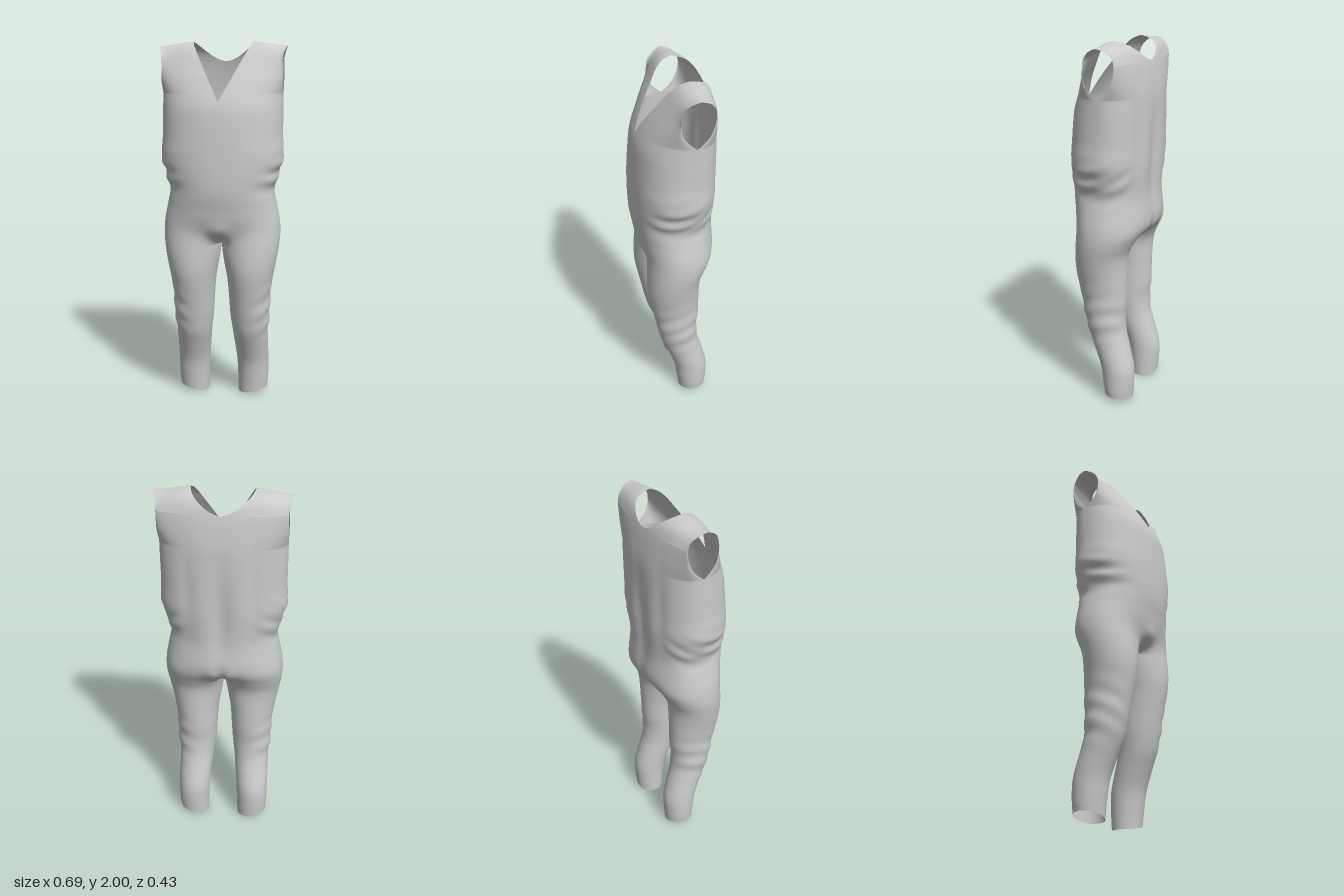
import * as THREE from 'three';
import { mergeVertices } from 'three/addons/utils/BufferGeometryUtils.js';

// Smooth interpolation through [y, value] pairs
function curve(...pts) {
  const slope = (i) => {
    const a = pts[Math.max(i - 1, 0)], b = pts[Math.min(i + 1, pts.length - 1)];
    return (b[1] - a[1]) / (b[0] - a[0]);
  };
  return (y) => {
    let i = 0;
    while (i < pts.length - 2 && y > pts[i + 1][0]) i++;
    const [y0, v0] = pts[i], [y1, v1] = pts[i + 1], h = y1 - y0;
    const t = THREE.MathUtils.clamp((y - y0) / h, 0, 1), t2 = t * t, t3 = t2 * t;
    return v0 * (2 * t3 - 3 * t2 + 1) + slope(i) * h * (t3 - 2 * t2 + t)
      + v1 * (3 * t2 - 2 * t3) + slope(i + 1) * h * (t3 - t2);
  };
}

const { clamp, lerp, smoothstep } = THREE.MathUtils;
const bump = (v, mid, size) => Math.exp(-(((v - mid) / size) ** 2));

const CROTCH = 0.92, HIP = 1.03, NECK_FRONT = 1.69, ARMPIT = 1.73, NECK_BACK = 1.9, TOP = 2;

// Outer half width, inner leg edge, front and back profiles
const width = curve([0, 0.255], [0.05, 0.26], [0.2, 0.262], [0.4, 0.26], [0.5, 0.27], [0.6, 0.272], [0.7, 0.282],
  [0.8, 0.3], [0.9, 0.317], [0.97, 0.323], [1.05, 0.318], [1.15, 0.298], [1.22, 0.287], [1.3, 0.31], [1.4, 0.333],
  [1.5, 0.328], [1.6, 0.327], [1.8, 0.325], [1.9, 0.323], [1.96, 0.33], [2, 0.345]);
const inner = curve([0, 0.088], [0.2, 0.08], [0.4, 0.06], [0.5, 0.048], [0.7, 0.034], [0.8, 0.018], [0.86, 0.008], [0.92, 0]);
const front = curve([0, -0.01], [0.1, 0], [0.2, 0.015], [0.3, 0.05], [0.4, 0.09], [0.5, 0.115], [0.6, 0.135], [0.7, 0.155],
  [0.8, 0.17], [0.9, 0.179], [1, 0.182], [1.1, 0.195], [1.22, 0.215], [1.4, 0.215], [1.6, 0.2], [1.68, 0.184],
  [1.8, 0.13], [1.9, 0.07], [1.95, 0.037], [1.98, 0.005], [1.994, -0.025], [2, -0.05]);
const back = curve([0, -0.168], [0.1, -0.175], [0.2, -0.175], [0.3, -0.15], [0.4, -0.122], [0.5, -0.113], [0.6, -0.12],
  [0.8, -0.123], [0.88, -0.138], [0.94, -0.172], [1, -0.207], [1.05, -0.216], [1.2, -0.208], [1.4, -0.216],
  [1.7, -0.211], [1.8, -0.201], [1.9, -0.183], [1.95, -0.163], [1.98, -0.13], [1.994, -0.085], [2, -0.05]);
// Side seam, and the two edges of the armhole into which it parts
const seam = curve([0.7, -0.005], [0.9, 0], [1.1, -0.01], [1.4, -0.02], [1.73, -0.045], [2, -0.05]);
const armFront = curve([1.73, -0.045], [1.76, -0.01], [1.8, 0.022], [1.87, 0.036], [1.93, 0.028], [1.975, 0], [1.994, -0.03], [2, -0.05]);
const armBack = curve([1.73, -0.045], [1.76, -0.08], [1.8, -0.112], [1.87, -0.134], [1.93, -0.13], [1.975, -0.105], [1.994, -0.075], [2, -0.05]);

// Half width of the neck opening: a V in front, a scoop behind
function neckEdge(y, isFront) {
  if (isFront) return 0.16 * Math.max(0, (y - NECK_FRONT) / (TOP - NECK_FRONT));
  return 0.16 * Math.max(0, (y - NECK_BACK) / (TOP - NECK_BACK)) ** 0.6;
}

// Share of the leg shape: a soft change overall, but closing to a U at the crotch seam
function legShare(u, y) {
  const soft = 1 - smoothstep(y, 0.74, 1.1);
  const t = clamp((y - CROTCH) / (HIP - CROTCH), 0, 1);
  return lerp(soft, (1 - Math.sqrt(t)) * (1 - t) + soft * Math.sqrt(t) * (t > 0 ? clamp((HIP - y) / HIP, 0, 1) : 0), bump(u, 0, 0.17));
}

// One point of the right or left half; u runs from the centre line to the side seam
function suitPoint(u, y, isFront) {
  const w = width(y), zMain = isFront ? front(y) : back(y);
  // Torso, its side edge drawn toward the armhole rim
  const x0 = neckEdge(y, isFront);
  let x = x0 + (w - x0) * Math.sin(u * Math.PI / 2);
  const p = 2.25, r = Math.min(x / w, 1);
  let z = lerp(seam(y), zMain, u === 1 ? 0 : Math.max(0, 1 - r ** p) ** (1 / p));
  if (y > ARMPIT) z += ((isFront ? armFront(y) : armBack(y)) - seam(y)) * u ** 3;
  // Hollow along the spine, with soft lengthwise folds
  if (!isFront) {
    z += 0.02 * bump(x, 0, 0.055) * bump(y, 1.38, 0.24) + 0.02 * bump(x, 0, 0.03) * bump(y, 1, 0.06);
    z += 0.007 * bump(x, 0.17, 0.035) * bump(y, 1.5, 0.22);
  }
  // Legs, blended in below the hip
  const b = u === 0 && y >= HIP ? 0 : legShare(u, y);
  if (b > 0) {
    const a = inner(y), mid = (front(y) + back(y)) / 2;
    const lx = (a + w) / 2 - (w - a) / 2 * Math.cos(Math.PI * u);
    const lz = mid + (zMain - mid) * Math.sin(Math.PI * u);
    x = u === 0 && y >= CROTCH ? 0 : lerp(x, lx, b);
    z = lerp(z, lz, b);
  }
  // Uneven cloth folds at the waist sides and around the knees
  const fold = 0.008 * smoothstep(x, 0.15, 0.3) * bump(y, 1.31, 0.09) * Math.sin(y * 58 + x * 30 + z * 14) * Math.cos(z * 12 + y * 9)
    + 0.004 * smoothstep(x, 0.1, 0.25) * bump(y, 0.52, 0.14) * Math.sin(y * 55 - x * 20 + z * 18);
  x += fold;
  z += (isFront ? 1 : -1) * fold * (1 - u);
  // Sloping shoulders and slanted cuffs
  let yy = y - 0.02 * smoothstep(x, 0.16, 0.34) * smoothstep(y, 1.9, 2);
  yy += 0.035 * smoothstep(x, 0.07, 0.28) * (1 - smoothstep(y, 0, 0.15));
  return [x, yy, z];
}

// Row heights, closer together where the cloth turns
function rowHeights() {
  const ys = [0];
  const add = (a, b, n, ease = (t) => t) => {
    for (let i = 1; i <= n; i++) ys.push(lerp(a, b, ease(i / n)));
  };
  add(0, CROTCH, 50);
  add(CROTCH, HIP, 16, (t) => t * t);
  add(HIP, NECK_FRONT, 46);
  add(NECK_FRONT, ARMPIT, 3);
  add(ARMPIT, NECK_BACK, 14, (t) => t ** 1.4);
  add(NECK_BACK, TOP, 22, (t) => (1 - Math.cos(Math.PI * t)) / 2);
  return ys;
}

function suitGeometry() {
  const ys = rowHeights(), cols = 40, positions = [], index = [];
  for (const isFront of [true, false]) {
    for (const mirror of [1, -1]) {
      const start = positions.length / 3;
      for (const y of ys) {
        for (let i = 0; i <= cols; i++) {
          const [x, yy, z] = suitPoint(i / cols, y, isFront);
          positions.push(x * mirror, yy, z);
        }
      }
      const outward = isFront === (mirror === 1);
      for (let k = 0; k < ys.length - 1; k++) {
        for (let i = 0; i < cols; i++) {
          const a = start + k * (cols + 1) + i, b = a + 1, c = b + cols + 1, d = a + cols + 1;
          if (outward) index.push(a, b, c, a, c, d);
          else index.push(a, c, b, a, d, c);
        }
      }
    }
  }
  const geometry = new THREE.BufferGeometry();
  geometry.setAttribute('position', new THREE.Float32BufferAttribute(positions, 3));
  geometry.setIndex(index);
  // Weld the centre, side and shoulder seams
  const welded = mergeVertices(geometry, 1e-4);
  welded.computeVertexNormals();
  return welded;
}

export function createModel() {
  const group = new THREE.Group();
  group.name = 'sleevelessJumpsuit';
  const cloth = new THREE.MeshStandardMaterial({ color: 0xcccccc, side: THREE.DoubleSide });
  const suit = new THREE.Mesh(suitGeometry(), cloth);
  suit.name = 'jumpsuitCloth';
  group.add(suit);
  return group;
}
